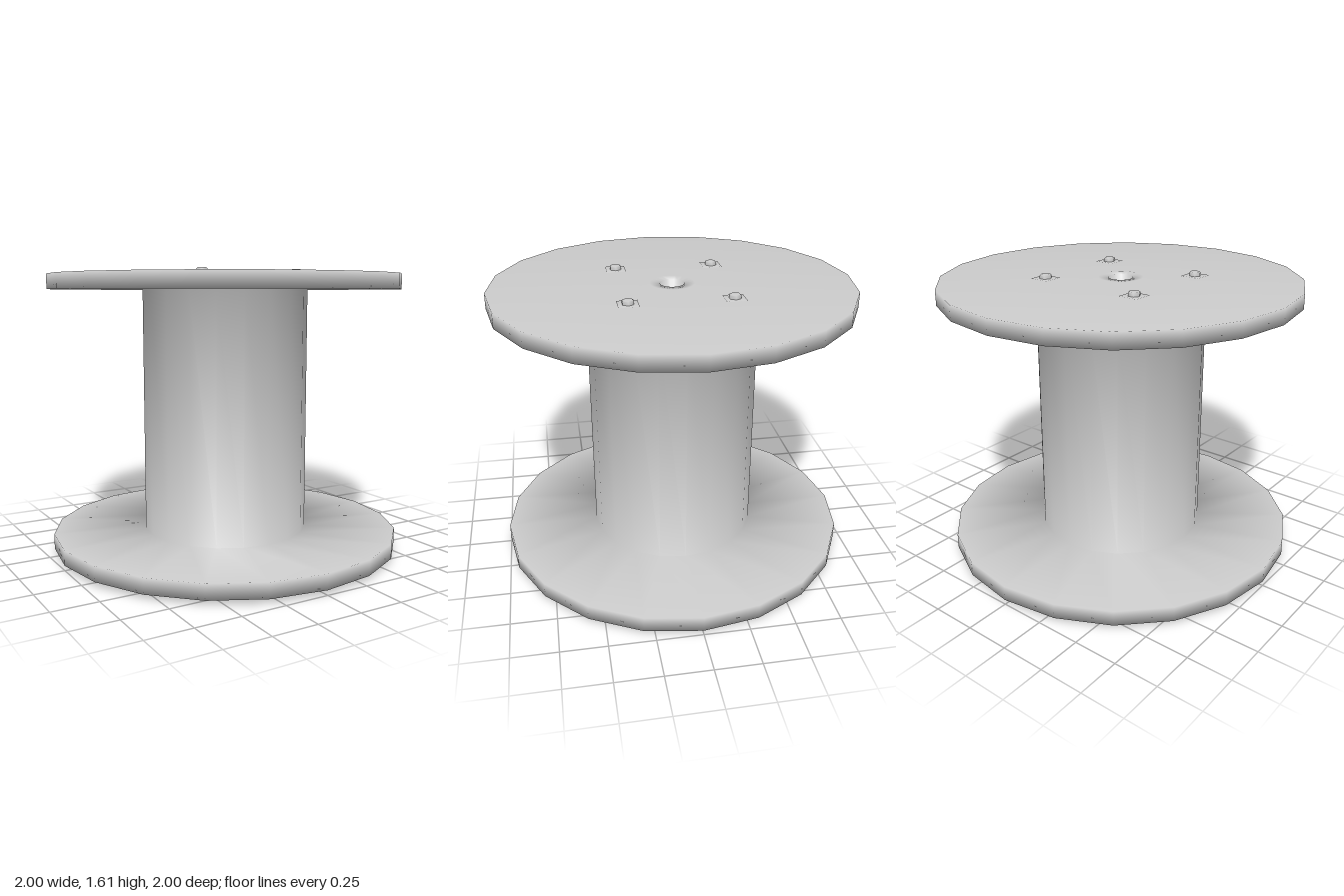
import * as THREE from 'three';

const MID = 0.806; // half of the total height

const material = new THREE.MeshStandardMaterial({ color: 0xcccccc });

// Smooth-shaded solid of revolution from [radius, y] pairs listed bottom to top
function turned(name, profile, sides, start = 0) {
  const points = profile.map(([r, y]) => new THREE.Vector2(r, y));
  const mesh = new THREE.Mesh(new THREE.LatheGeometry(points, sides, start), material);
  mesh.name = name;
  return mesh;
}

// Square washer with a hex bolt head, standing on the upper flange
function createBolt(x, z) {
  const bolt = new THREE.Group();
  bolt.name = 'bolt';
  bolt.add(
    turned('squareWasher', [[0.077, 0.76], [0.077, 0.784], [0, 0.784]], 4, Math.PI / 4),
    turned('hexHead', [[0.034, 0.77], [0.034, 0.8], [0.026, 0.806], [0, 0.806]], 6, Math.PI / 2)
  );
  bolt.position.set(x, 0, z);
  return bolt;
}

function createBoltSet(name) {
  const set = new THREE.Group();
  set.name = name;
  for (const x of [-0.303, 0.303]) for (const z of [-0.277, 0.277]) set.add(createBolt(x, z));
  return set;
}

export function createModel() {
  const model = new THREE.Group();
  model.name = 'cableSpool';

  // Upper half: core, flange, low collar and the recessed axle hole
  const upper = [
    [0.473, 0.694], [1, 0.694], [1, 0.779],
    [0.175, 0.781], [0.125, 0.786], [0.066, 0.782], [0.064, 0.7], [0, 0.7],
  ];
  // The lower half mirrors it
  const lower = upper.map(([r, y]) => [r, -y]).reverse();

  const spool = turned('spoolBody', [...lower, ...upper], 20);

  const topBolts = createBoltSet('topBolts');
  const bottomBolts = createBoltSet('bottomBolts');
  bottomBolts.rotation.x = Math.PI;

  const body = new THREE.Group();
  body.name = 'spool';
  body.add(spool, topBolts, bottomBolts);
  body.position.y = MID;
  model.add(body);
  return model;
}
